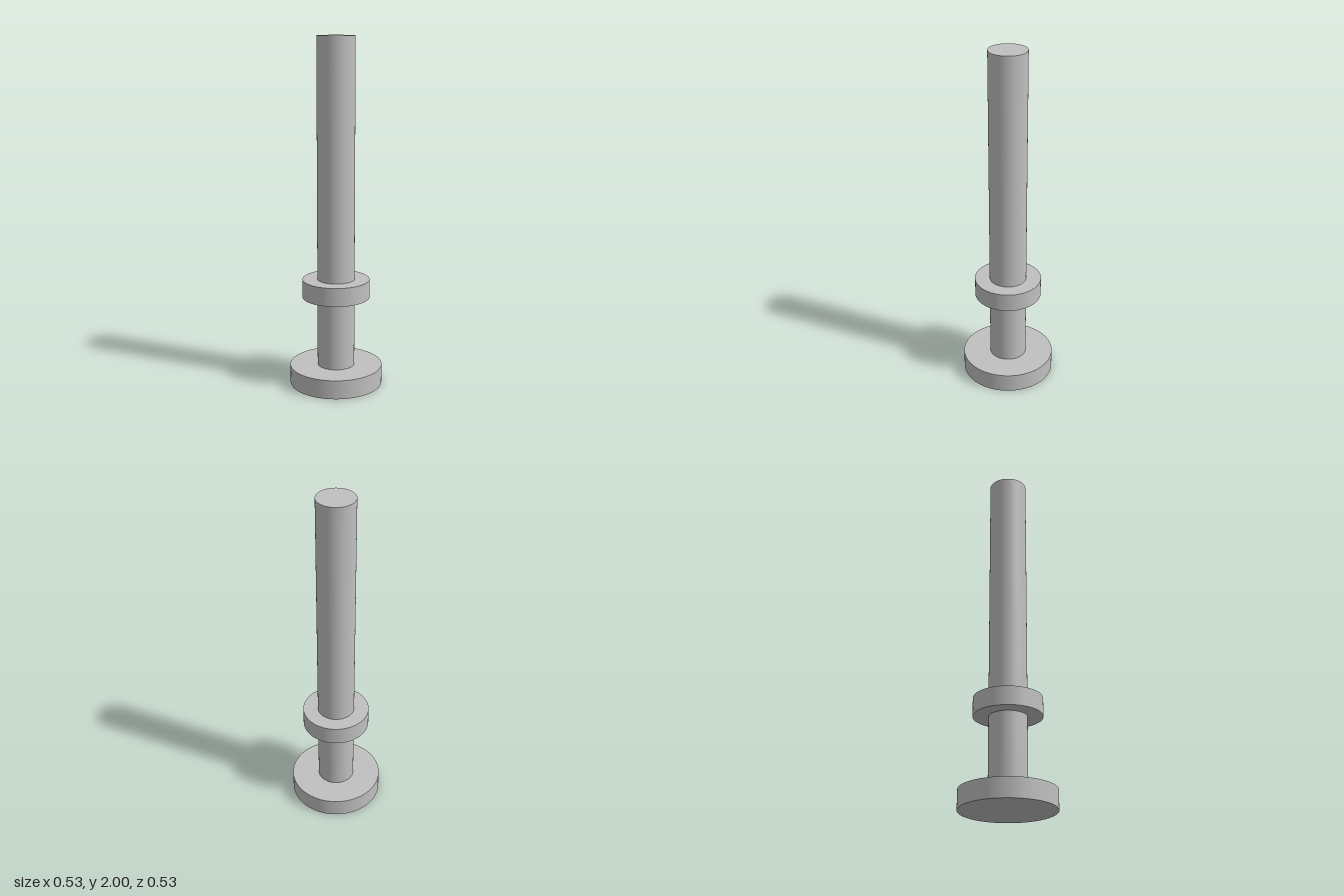
import * as THREE from 'three';

export function createModel() {
  const model = new THREE.Group();
  const steel = new THREE.MeshStandardMaterial({ color: 0xc0c0c0 });
  steel.name = 'light grey steel';

  // Upright round section between two heights
  const addDisc = (name, radius, bottom, top) => {
    const mesh = new THREE.Mesh(new THREE.CylinderGeometry(radius, radius, top - bottom, 96), steel);
    mesh.name = name;
    mesh.position.y = (bottom + top) / 2;
    model.add(mesh);
  };

  addDisc('baseFlange', 0.267, 0, 0.11);
  addDisc('lowerShaft', 0.107, 0.11, 0.518);
  addDisc('collar', 0.193, 0.518, 0.625);
  addDisc('upperShaft', 0.107, 0.625, 2);

  return model;
}
